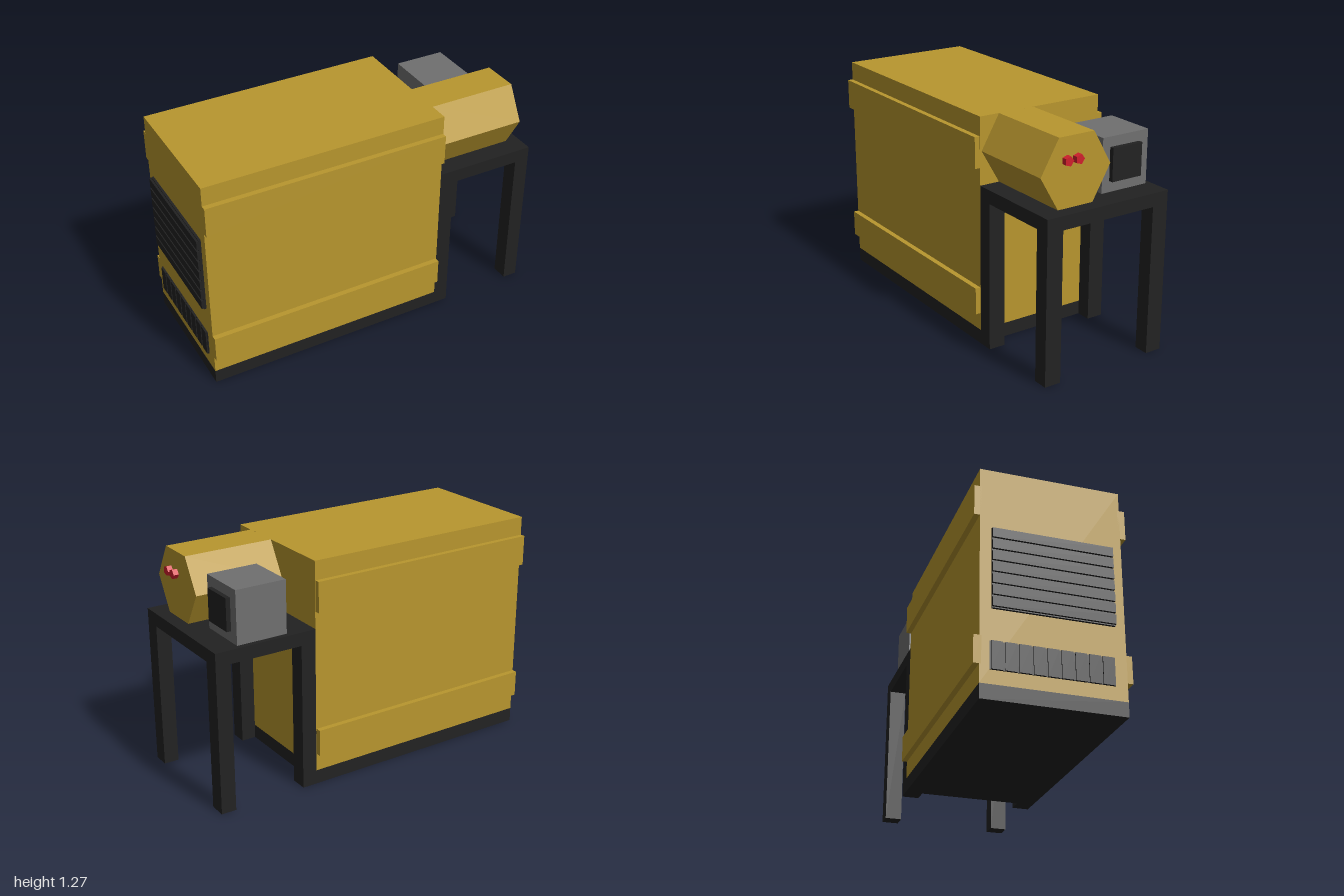
import * as THREE from 'three';

const mat = (color) => new THREE.MeshStandardMaterial({ color, flatShading: true });

export function createModel() {
  const group = new THREE.Group();
  const yellow = mat(0xb8962e), black = mat(0x222222), grey = mat(0x707070), red = mat(0xd0202c);

  const add = (name, geometry, material) => {
    const mesh = new THREE.Mesh(geometry, material);
    mesh.name = name;
    group.add(mesh);
    return mesh;
  };
  // Box given by its extents on each axis
  const box = (name, material, [x0, x1], [y0, y1], [z0, z1]) => {
    const mesh = add(name, new THREE.BoxGeometry(x1 - x0, y1 - y0, z1 - z0), material);
    mesh.position.set((x0 + x1) / 2, (y0 + y1) / 2, (z0 + z1) / 2);
    return mesh;
  };
  // Prism lying along x, with its first corner pointing along z * tip
  const prism = (name, material, sides, radius, [x0, x1], y, z, tip = 1) => {
    const geometry = new THREE.CylinderGeometry(radius, radius, x1 - x0, sides);
    if (tip < 0) geometry.rotateY(Math.PI);
    geometry.rotateZ(-Math.PI / 2);
    add(name, geometry, material).position.set((x0 + x1) / 2, y, z);
  };

  // Cabinet on its plinth
  box('plinth', black, [-0.975, 0.415], [0, 0.08], [-0.38, 0.38]);
  box('cabinet', yellow, [-0.975, 0.415], [0.08, 1.275], [-0.38, 0.38]);

  // Raised bands along both long sides
  for (const side of [-1, 1]) {
    const z = [0.37 * side, 0.41 * side].sort((a, b) => a - b);
    box('lowerBand', yellow, [-0.975, 0.412], [0.18, 0.33], z);
    box('upperBand', yellow, [-0.975, 0.412], [1.0, 1.17], z);
  }

  // Large vent with horizontal slats
  box('largeVentPlate', black, [-0.988, -0.97], [0.48, 0.93], [-0.32, 0.325]);
  const rows = 7, pitch = 0.45 / rows;
  for (let i = 0; i < rows; i++) {
    const y = 0.48 + i * pitch;
    box('largeVentSlat', black, [-1, -0.985], [y + 0.006, y + pitch - 0.006], [-0.32, 0.325]);
  }

  // Small vent with upright slats
  box('smallVentPlate', black, [-0.98, -0.97], [0.155, 0.305], [-0.33, 0.315]);
  const columns = 9, step = 0.645 / columns;
  for (let i = 0; i < columns; i++) {
    const z = -0.33 + i * step;
    box('smallVentSlat', black, [-0.987, -0.978], [0.155, 0.305], [z + 0.006, z + step - 0.006]);
  }

  // Table with four legs
  box('tableTop', black, [0.415, 1], [0.83, 0.905], [-0.38, 0.38]);
  for (const x of [[0.415, 0.5], [0.915, 1]])
    for (const z of [[-0.38, -0.285], [0.285, 0.38]])
      box('tableLeg', black, x, [0, 0.83], z);

  // Six-sided drum with two buttons on its end
  prism('drum', yellow, 6, 0.2135, [0.415, 0.925], 1.09, 0.157);
  for (const z of [0.22, 0.155]) prism('button', red, 5, 0.027, [0.92, 0.955], 1.155, z, -1);

  // Control box and its screen
  box('controlBox', grey, [0.57, 0.86], [0.905, 1.2], [-0.352, -0.06]);
  box('screen', black, [0.855, 0.885], [0.965, 1.145], [-0.295, -0.107]);

  return group;
}
